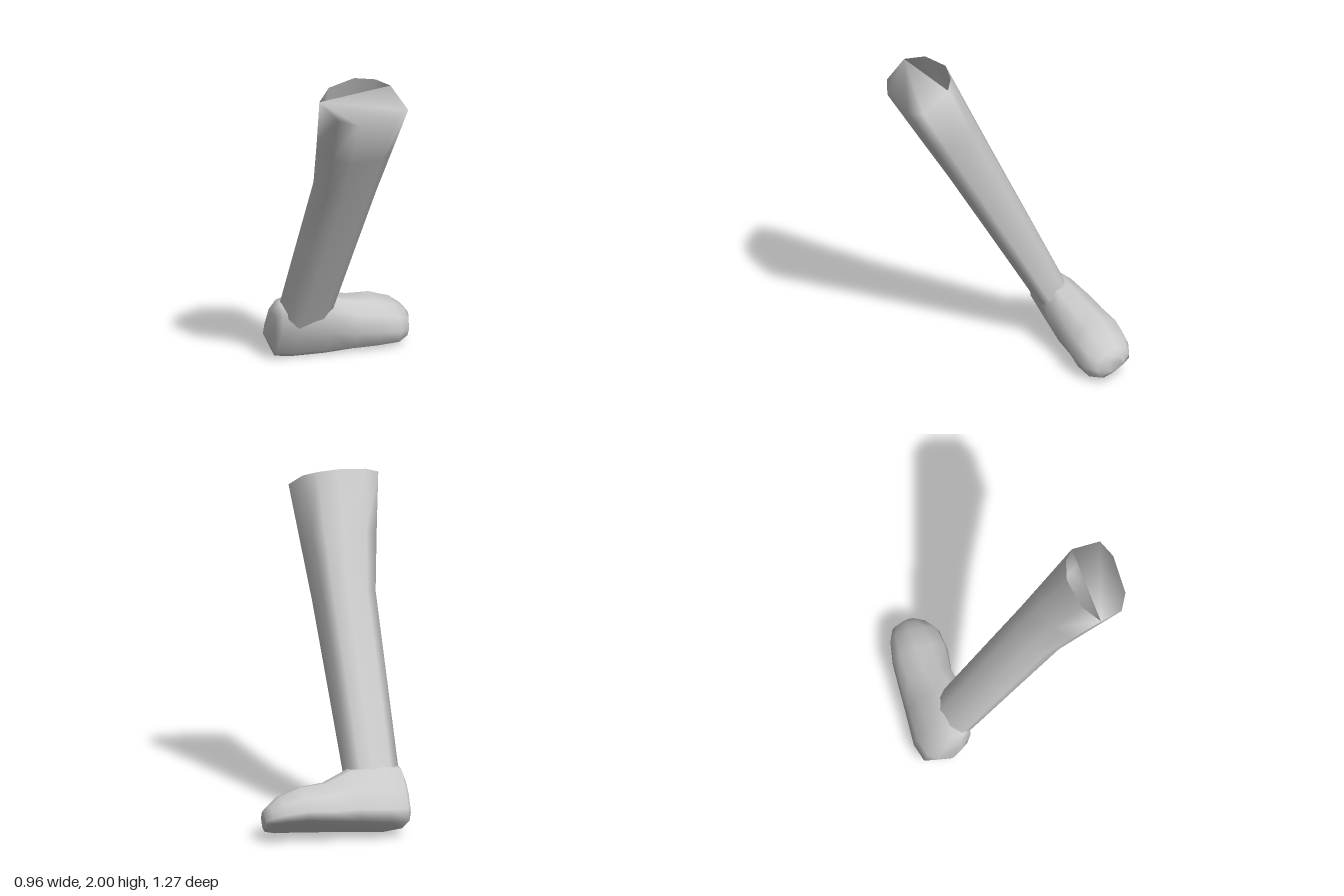
import * as THREE from 'three';

const material = new THREE.MeshStandardMaterial({ color: 0xcccccc, side: THREE.DoubleSide });

// Skin closed rings of points; capStart / capEnd list the corner triangles of the ends.
function loft(name, rings, capStart, capEnd) {
  const n = rings[0].length, index = [];
  for (let i = 0; i < rings.length - 1; i++) {
    for (let j = 0; j < n; j++) {
      const a = i * n + j, b = i * n + (j + 1) % n;
      index.push(a, b, b + n, a, b + n, a + n);
    }
  }
  const last = (rings.length - 1) * n;
  capStart.forEach(([a, b, c]) => index.push(a, c, b));
  capEnd.forEach(([a, b, c]) => index.push(last + a, last + b, last + c));
  const geometry = new THREE.BufferGeometry();
  geometry.setAttribute('position', new THREE.Float32BufferAttribute(rings.flat(2), 3));
  geometry.setIndex(index);
  geometry.computeVertexNormals();
  const mesh = new THREE.Mesh(geometry, material);
  mesh.name = name;
  return mesh;
}

// Triangle fan over the first n corners of a ring
const fan = (n) => Array.from({ length: n - 2 }, (_, i) => [0, i + 1, i + 2]);

function createLeg() {
  // Outline of the leg, scaled per level
  const outline = [
    [-1, -0.25], [-0.8, 0.64], [-0.36, 1], [0.6, 1], [1, 0.69],
    [0.88, -0.44], [0.6, -0.8], [0.12, -1], [-0.6, -0.78],
  ];
  // height, centre x, half width, centre z, half depth
  const levels = [
    [0.0, -0.205, 0.15, -0.485, 0.095],
    [0.17, -0.205, 0.155, -0.483, 0.1],
    [0.7, -0.199, 0.165, -0.477, 0.122],
    [1.21, -0.193, 0.175, -0.47, 0.143],
    [1.55, -0.21, 0.21, -0.467, 0.161],
    [1.917, -0.23, 0.25, -0.465, 0.18],
  ];
  const rings = levels.map(([y, cx, rx, cz, rz]) =>
    outline.map(([u, v]) => [cx + u * rx, y, cz + v * rz]));
  // The top is closed except for a narrow slot along its back
  return loft('leg', rings, [], fan(6));
}

function createFoot() {
  // Cross-section from back to front (u) and sole to top (v)
  const section = [
    [0.06, 0], [0, 0.2], [0, 0.55], [0.2, 0.9], [0.5, 1],
    [0.8, 0.9], [1, 0.55], [1, 0.12], [0.93, 0],
  ];
  // x, back z, front z, sole, top: heel to toe
  const stations = [
    [-0.388, -0.55, -0.43, -0.13, 0.08],
    [-0.36, -0.6, -0.395, -0.19, 0.17],
    [-0.25, -0.63, -0.375, -0.2, 0.18],
    [-0.06, -0.63, -0.34, -0.18, 0.17],
    [0.1, -0.63, -0.325, -0.165, 0.1],
    [0.25, -0.63, -0.3, -0.15, 0.085],
    [0.38, -0.6, -0.3, -0.145, 0.04],
    [0.45, -0.56, -0.34, -0.14, -0.015],
    [0.477, -0.5, -0.41, -0.13, -0.04],
  ];
  const rings = stations.map(([x, z0, z1, y0, y1]) =>
    section.map(([u, v]) => [x, y0 + v * (y1 - y0), z0 + u * (z1 - z0)]));
  return loft('foot', rings, fan(9), fan(9));
}

export function createModel() {
  const model = new THREE.Group();
  model.name = 'lowerLeg';
  // The upright leg and foot lean forward together
  const leaning = new THREE.Group();
  leaning.name = 'leaningLeg';
  leaning.rotation.x = 0.478;
  leaning.add(createLeg(), createFoot());
  model.add(leaning);
  return model;
}
